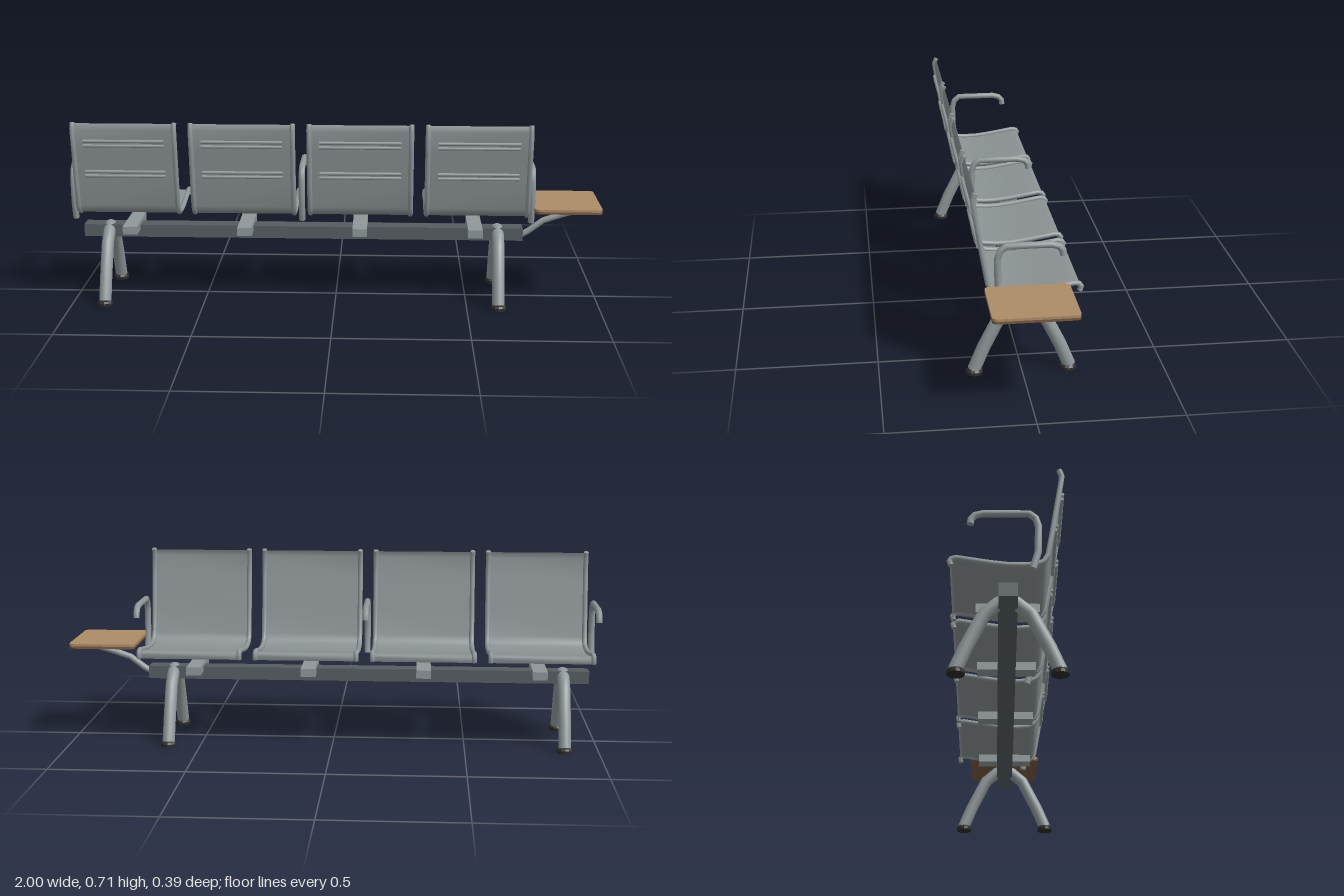
import * as THREE from 'three';

const material = (name, color, side = THREE.FrontSide) => {
  const m = new THREE.MeshStandardMaterial({ color, side });
  m.name = name;
  return m;
};

// Curve that visits each bend of a polyline exactly, mitring the tube there
class BentPath extends THREE.Curve {
  constructor(points) {
    super();
    this.points = points;
  }
  getPoint(t, target = new THREE.Vector3()) {
    const last = this.points.length - 1;
    const i = Math.min(Math.floor(t * last + 1e-6), last - 1);
    return target.lerpVectors(this.points[i], this.points[i + 1], t * last - i);
  }
  getPointAt(t, target) {
    return this.getPoint(t, target);
  }
  getTangentAt(t, target = new THREE.Vector3()) {
    const p = this.points, last = p.length - 1, i = Math.round(t * last);
    target.set(0, 0, 0);
    if (i > 0) target.add(p[i].clone().sub(p[i - 1]).normalize());
    if (i < last) target.add(p[i + 1].clone().sub(p[i]).normalize());
    return target.normalize();
  }
}

// Bent steel tube with flat closed ends
function bentTube(name, coords, radius, mat, sides = 12) {
  const path = new BentPath(coords.map((c) => new THREE.Vector3(...c)));
  const group = new THREE.Group();
  group.name = name;
  group.add(new THREE.Mesh(new THREE.TubeGeometry(path, coords.length - 1, radius, sides), mat));
  for (const t of [0, 1]) {
    const cap = new THREE.Mesh(new THREE.CircleGeometry(radius, sides), mat);
    const outward = path.getTangentAt(t).multiplyScalar(t ? 1 : -1);
    cap.position.copy(path.getPointAt(t));
    cap.quaternion.setFromUnitVectors(new THREE.Vector3(0, 0, 1), outward);
    group.add(cap);
  }
  group.children.forEach((c) => { c.name = name; });
  return group;
}

function box(name, size, position, mat) {
  const mesh = new THREE.Mesh(new THREE.BoxGeometry(...size), mat);
  mesh.name = name;
  mesh.position.set(...position);
  return mesh;
}

// Rounded horizontal board
function board(name, w, d, r, thickness, mat) {
  const x = w / 2, y = d / 2;
  const s = new THREE.Shape();
  s.moveTo(-x + r, -y);
  s.lineTo(x - r, -y).absarc(x - r, -y + r, r, -Math.PI / 2, 0);
  s.lineTo(x, y - r).absarc(x - r, y - r, r, 0, Math.PI / 2);
  s.lineTo(-x + r, y).absarc(-x + r, y - r, r, Math.PI / 2, Math.PI);
  s.lineTo(-x, -y + r).absarc(-x + r, -y + r, r, Math.PI, Math.PI * 1.5);
  const geo = new THREE.ExtrudeGeometry(s, { depth: thickness, bevelEnabled: false, curveSegments: 5 });
  const mesh = new THREE.Mesh(geo.rotateX(-Math.PI / 2), mat);
  mesh.name = name;
  return mesh;
}

// Seat side outline as [y, z], from the top of the back to the front lip
const SEAT_PROFILE = [
  [0.708, 0.171], [0.685, 0.18], [0.6, 0.167], [0.49, 0.149], [0.385, 0.131], [0.362, 0.119],
  [0.35, 0.098], [0.346, 0.05], [0.347, 0], [0.353, -0.05], [0.361, -0.1],
  [0.372, -0.165], [0.369, -0.18], [0.36, -0.187], [0.344, -0.182],
];

function makeSeat(steel, mesh) {
  const seat = new THREE.Group();
  seat.name = 'seat';
  // Perforated sheet swept across the width
  const geo = new THREE.PlaneGeometry(0.37, 1, 1, SEAT_PROFILE.length - 1);
  const pos = geo.attributes.position;
  for (let i = 0; i < pos.count; i++) {
    const [y, z] = SEAT_PROFILE[Math.floor(i / 2)];
    pos.setXYZ(i, pos.getX(i), y - 0.003, z);
  }
  geo.computeVertexNormals();
  // Turn the sheet over so its faces look up and toward the sitter
  geo.index.array.reverse();
  geo.computeVertexNormals();
  const sheet = new THREE.Mesh(geo, mesh);
  sheet.name = 'seatSheet';
  seat.add(sheet);
  // Side rails
  for (const side of [-1, 1]) {
    seat.add(bentTube('sideRail', SEAT_PROFILE.map(([y, z]) => [side * 0.188, y, z]), 0.0095, steel, 10));
  }
  // Paired rods behind the backrest
  for (const [y, z] of [[0.64, 0.183], [0.622, 0.18], [0.52, 0.162], [0.503, 0.159]]) {
    const rod = new THREE.Mesh(new THREE.CylinderGeometry(0.006, 0.006, 0.3, 8), steel);
    rod.name = 'backRod';
    rod.rotation.z = Math.PI / 2;
    rod.position.set(0, y, z);
    seat.add(rod);
  }
  return seat;
}

export function createModel() {
  const steel = material('brushed steel', 0x8f9799);
  const sheet = material('seat grey', 0x8c9395, THREE.DoubleSide);
  const beamPaint = material('dark slate', 0x555d61);
  const rubber = material('black rubber', 0x2c2a2a);
  const wood = material('light wood', 0xad8c68);
  const darkWood = material('dark wood', 0x785842);

  const bench = new THREE.Group();
  bench.name = 'beamSeating';

  // Main beam
  bench.add(box('beam', [1.684, 0.048, 0.063], [-0.128, 0.255, 0.002], beamPaint));

  // Seats, each above its cross bar
  for (let i = 0; i < 4; i++) {
    const x = -0.778 + i * 0.4365;
    const seat = makeSeat(steel, sheet);
    seat.position.x = x;
    bench.add(seat, box('crossBar', [0.055, 0.031, 0.211], [x - 0.002, 0.276, 0.002], steel));
  }

  // Splayed legs with rubber feet
  const footProfile = [[0, 0], [0.03, 0], [0.03, 0.011], [0.024, 0.018], [0, 0.018]]
    .map(([r, y]) => new THREE.Vector2(r, y));
  const footGeo = new THREE.LatheGeometry(footProfile, 12).toNonIndexed();
  footGeo.computeVertexNormals();
  for (const x of [-0.873, 0.619]) {
    for (const side of [-1, 1]) {
      const path = [[0.267, 0], [0.256, 0.03], [0.217, 0.075], [0.098, 0.134], [0.015, 0.168]];
      bench.add(bentTube('leg', path.map(([y, z]) => [x, y, side * z + 0.001]), 0.0235, steel, 14));
      const foot = new THREE.Mesh(footGeo, rubber);
      foot.name = 'foot';
      foot.position.set(x, 0, side * 0.166 + 0.002);
      bench.add(foot);
    }
  }

  // Armrests
  const armPath = [
    [0.32, 0.081], [0.383, 0.098], [0.478, 0.1], [0.508, 0.091], [0.525, 0.07],
    [0.525, -0.08], [0.518, -0.106], [0.503, -0.119], [0.485, -0.121],
  ];
  for (const x of [-0.988, -0.125, 0.738]) {
    bench.add(bentTube('armrest', armPath.map(([y, z]) => [x, y, z]), 0.012, steel));
  }

  // Side table on a bent arm
  const top = board('tableTop', 0.25, 0.288, 0.018, 0.009, wood);
  top.position.set(0.872, 0.376, 0.002);
  const base = board('tableBase', 0.25, 0.288, 0.018, 0.009, darkWood);
  base.position.set(0.872, 0.367, 0.002);
  bench.add(top, base);
  const support = [[0.71, 0.25, 0.01], [0.735, 0.264, 0.01], [0.792, 0.307, 0.01], [0.86, 0.33, 0.01], [0.945, 0.354, 0.01]];
  bench.add(bentTube('tableSupport', support, 0.012, steel));

  return bench;
}
